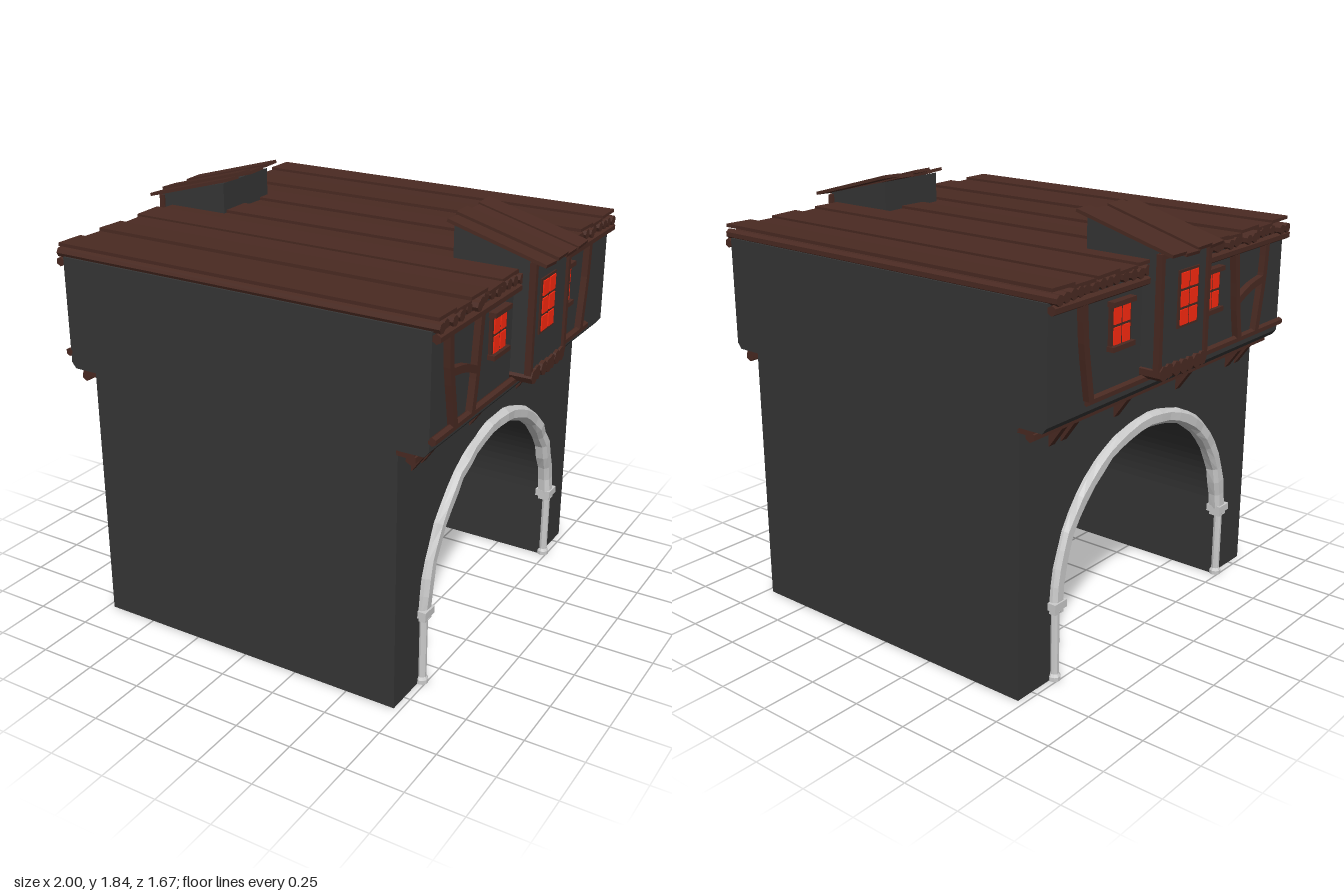
import * as THREE from 'three';

const material = (color) => new THREE.MeshStandardMaterial({ color, flatShading: true });

export function createModel() {
  const model = new THREE.Group();
  const plaster = material(0x363636), wood = material(0x4a2a22);
  const glass = material(0xff2a10), stone = material(0xcccccc);

  // small seeded jitter, from -a to a
  let seed = 7;
  const jitter = (a) => {
    seed = (seed * 16807) % 2147483647;
    return (seed / 2147483647 * 2 - 1) * a;
  };

  const add = (parent, name, geometry, mat) => {
    const mesh = new THREE.Mesh(geometry, mat);
    mesh.name = name;
    parent.add(mesh);
    return mesh;
  };
  const box = (x0, x1, y0, y1, z0, z1) =>
    new THREE.BoxGeometry(x1 - x0, y1 - y0, z1 - z0)
      .translate((x0 + x1) / 2, (y0 + y1) / 2, (z0 + z1) / 2);
  const shapeOf = (points) => new THREE.Shape(points.map(([x, y]) => new THREE.Vector2(x, y)));
  // profile in x,y pulled along z
  const alongZ = (points, z0, z1) =>
    new THREE.ExtrudeGeometry(shapeOf(points), { depth: z1 - z0, bevelEnabled: false }).translate(0, 0, z0);
  // profile in z,y pulled along x
  const alongX = (points, x0, x1) =>
    new THREE.ExtrudeGeometry(shapeOf(points.map(([z, y]) => [-z, y])), { depth: x1 - x0, bevelEnabled: false })
      .rotateY(Math.PI / 2).translate(x0, 0, 0);
  const logX = (x0, x1, y, z, r) =>
    new THREE.CylinderGeometry(r, r, x1 - x0, 7).rotateZ(Math.PI / 2).translate((x0 + x1) / 2, y, z);
  const logZ = (x, y, z0, z1, r) =>
    new THREE.CylinderGeometry(r, r, z1 - z0, 6).rotateX(Math.PI / 2).translate(x, y, (z0 + z1) / 2);
  // curved timber of constant width through z,y points
  const timber = (points, w) => {
    const curve = new THREE.SplineCurve(points.map(([z, y]) => new THREE.Vector2(z, y)));
    const left = [], right = [];
    for (let i = 0; i <= 6; i++) {
      const p = curve.getPoint(i / 6), t = curve.getTangent(i / 6);
      left.push([p.x - t.y * w / 2, p.y + t.x * w / 2]);
      right.unshift([p.x + t.y * w / 2, p.y - t.x * w / 2]);
    }
    return alongX([...left, ...right], 0.845, 0.878);
  };

  // gate block with arched passage
  const outline = [[-0.835, 0], [-0.835, 1.15], [0.835, 1.15], [0.835, 0], [0.6, 0]];
  for (let i = 0; i <= 48; i++) {
    const t = Math.PI * i / 48;
    outline.push([0.6 * Math.cos(t), 0.34 + 0.575 * Math.sin(t)]);
  }
  outline.push([-0.6, 0]);
  add(model, 'gateBlock', alongX(outline, -0.722, 0.722), plaster);

  // overhanging upper storey
  add(model, 'upperStorey', alongZ([[-0.83, 1.135], [0.83, 1.135], [0.85, 1.16], [0.85, 1.62],
    [-0.85, 1.62], [-0.85, 1.16]], -0.835, 0.835), plaster);

  // roof logs and boards
  const roof = new THREE.Group();
  roof.name = 'roof';
  model.add(roof);
  for (let i = 0; i < 36; i++)
    add(roof, 'roofLog', logX(-0.875 + jitter(0.012), 0.875 + jitter(0.012), 1.634 + jitter(0.004), -0.81 + i * 1.62 / 35, 0.022), wood);
  for (let i = 0; i < 13; i++) {
    const upper = i % 2 === 0, z = -0.771 + i * 0.1285, half = upper ? 0.068 : 0.064;
    const board = box(-0.875 + jitter(0.008), 0.875 + jitter(0.008), -0.007, 0.007,
      Math.max(-half, -0.835 - z), Math.min(half, 0.835 - z));
    board.rotateX(jitter(0.03)).rotateY(jitter(0.003)).translate(0, upper ? 1.671 : 1.659, z);
    add(roof, 'roofBoard', board, wood);
  }

  // irregular stone arch, looped from six-sided sections
  const archGeometry = () => {
    const section = [[-0.032, 0.7], [-0.032, 0.735], [-0.018, 0.752], [0.018, 0.752], [0.032, 0.735], [0.032, 0.7]];
    const position = [], index = [], n = 26;
    for (let i = 0; i <= n; i++) {
      const t = Math.PI * i / n, shift = jitter(0.005), bulge = jitter(0.004);
      section.forEach(([r, x]) => {
        const k = r + shift + jitter(0.003);
        position.push(x > 0.71 ? x + bulge : x, 0.34 + (0.593 + k) * Math.sin(t), (0.608 + k) * Math.cos(t));
      });
      if (i < n) for (let j = 0; j < 6; j++) {
        const a = i * 6 + j, b = i * 6 + (j + 1) % 6;
        index.push(a, a + 6, b, b, a + 6, b + 6);
      }
    }
    const g = new THREE.BufferGeometry();
    g.setAttribute('position', new THREE.Float32BufferAttribute(position, 3));
    g.setIndex(index);
    return g;
  };
  const columnProfile = [[0, 0], [0.027, 0], [0.027, 0.018], [0.019, 0.03], [0.019, 0.3], [0.024, 0.308], [0, 0.308]]
    .map(([r, y]) => new THREE.Vector2(r, y));

  // window panes with bars and sills, outer face near x
  const addWindow = (put, name, x, z, y0, y1, w, rows) => {
    put(name + 'Backing', box(x - 0.02, x + 0.004, y0 - 0.005, y1 + 0.005, z - w / 2 - 0.008, z + w / 2 + 0.008), wood);
    const ph = (y1 - y0) / rows;
    for (let r = 0; r < rows; r++) for (const s of [-1, 1]) {
      const c = z + s * w / 4, y = y0 + ph * (r + 0.5);
      put(name + 'Pane', box(x - 0.01, x + 0.009, y - ph / 2 + 0.006, y + ph / 2 - 0.006, c - w / 4 + 0.006, c + w / 4 - 0.006), glass);
    }
  };

  // everything on one arched face, built for +x and mirrored for -x
  const buildSide = (s) => {
    const side = new THREE.Group();
    side.name = s > 0 ? 'leftFace' : 'rightFace';
    model.add(side);
    const dz = s > 0 ? 0 : -0.075;
    const put = (name, geometry, mat, shift = 0) => {
      const g = geometry.index ? geometry.toNonIndexed() : geometry;
      g.translate(0, 0, shift);
      if (s < 0) {
        const p = g.attributes.position;
        const v = [0, 1, 2].map(() => new THREE.Vector3());
        for (let i = 0; i < p.count; i += 3) {
          v.forEach((q, k) => q.fromBufferAttribute(p, i + k));
          [v[0], v[2], v[1]].forEach((q, k) => p.setXYZ(i + k, -q.x, q.y, q.z));
        }
      }
      g.computeVertexNormals();
      add(side, name, g, mat);
    };
    const putShifted = (name, geometry, mat) => put(name, geometry, mat, dz);

    // arch, columns and capitals
    put('stoneArch', archGeometry(), stone);
    for (const z of [-0.615, 0.615]) {
      put('column', new THREE.LatheGeometry(columnProfile, 10).translate(0.73, 0, z), stone);
      put('capitalNeck', box(0.7, 0.752, 0.3, 0.322, z - 0.027, z + 0.027), stone);
      put('capital', box(0.69, 0.76, 0.32, 0.352, z - 0.038, z + 0.038), stone);
    }

    // long beams and brackets
    put('lowerBeam', logZ(0.775, 1.112, -0.835, 0.835, 0.023), wood);
    put('lowerPlate', box(0.715, 0.79, 1.115, 1.137, -0.835, 0.835), wood);
    put('middleBeam', logZ(0.86, 1.203, -0.61, 0.835, 0.018), wood);
    put('eavesBeam', logZ(0.868, 1.597, -0.835, 0.835, 0.02), wood);
    for (const z of [0.715, 0.635, 0.23, -0.22, -0.565, -0.64])
      put('bracket', alongZ([[0.715, 1.01], [0.725, 1.01], [0.785, 1.095], [0.785, 1.12], [0.765, 1.12], [0.715, 1.045]],
        z - 0.017, z + 0.017), wood);

    // curved timber framing
    for (const path of [
      [[0.735, 1.59], [0.725, 1.46], [0.7, 1.32], [0.68, 1.21]],
      [[0.48, 1.59], [0.497, 1.46], [0.512, 1.34], [0.536, 1.21]],
      [[0.715, 1.435], [0.61, 1.415], [0.512, 1.375]],
      [[-0.575, 1.59], [-0.565, 1.44], [-0.546, 1.32], [-0.527, 1.21]],
    ]) putShifted('framingTimber', timber(path, 0.031), wood);

    // small windows
    for (const z of [0.307, -0.33]) {
      addWindow(putShifted, 'window', 0.86, z, 1.38, 1.538, 0.115, 2);
      for (const y of [1.374, 1.546])
        putShifted('windowSill', box(0.845, 0.882, y - 0.01, y + 0.01, z - 0.072, z + 0.072), wood);
    }

    // dormer bay
    putShifted('dormer', alongZ([[0.585, 1.6], [0.84, 1.6], [0.84, 1.22], [0.93, 1.22], [0.93, 1.715], [0.585, 1.8]],
      -0.175, 0.16), plaster);
    addWindow(putShifted, 'dormerWindow', 0.932, 0.018, 1.395, 1.615, 0.128, 3);
    for (const z of [-0.175, 0.155])
      putShifted('dormerPost', box(0.915, 0.942, 1.24, 1.705, z - 0.011, z + 0.011), wood);
    putShifted('dormerTopRail', box(0.915, 0.942, 1.685, 1.708, -0.175, 0.155), wood);
    for (let i = 0; i < 7; i++)
      putShifted('dormerBaseLog', logX(0.84, 0.944 + jitter(0.004), 1.232 + jitter(0.003), 0.135 - i * 0.048, 0.031), wood);

    // sloping dormer boards
    for (let i = 0; i < 4; i++) {
      const board = box(-0.225 + jitter(0.008), 0.225 + jitter(0.008), -0.007, 0.007, -0.049, 0.049);
      board.rotateX(jitter(0.06)).rotateY(jitter(0.02)).rotateZ(-0.27)
        .translate(0.775, 1.757 + (i % 2) * 0.01, 0.125 - i * 0.093);
      putShifted('dormerRoofBoard', board, wood);
    }
  };
  buildSide(1);
  buildSide(-1);

  return model;
}
